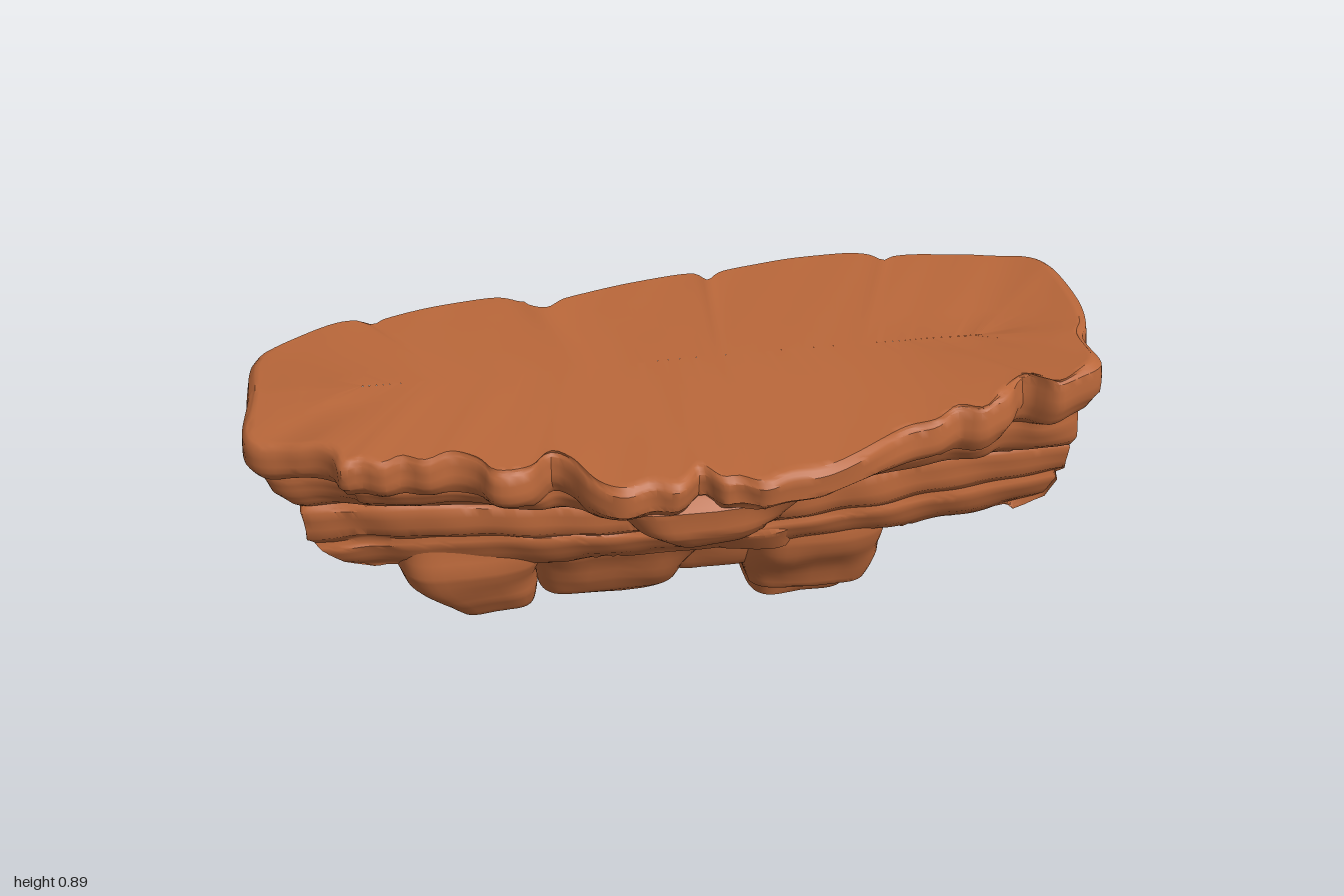
import * as THREE from 'three';
import { toCreasedNormals } from 'three/addons/utils/BufferGeometryUtils.js';

const { lerp, clamp, smoothstep } = THREE.MathUtils;

// Smooth, repeatable bumpiness; stretched sideways so it reads as strata
function noise(x, y, z) {
  return 0.45 * Math.sin(7 * x + 3 * Math.sin(11 * y) + 2 * z)
    + 0.35 * Math.sin(15 * y + 5 * x - 4 * z + 1.3)
    + 0.3 * Math.sin(17 * x - 9 * z + 2 * Math.sin(8 * y + 6 * x))
    + 0.2 * Math.sin(37 * x + 13 * y + 23 * z);
}

// Closed solid from rings of equal length, listed top to bottom
function loft(rings, amp) {
  const n = rings[0].length, pos = [], idx = [];
  // Caps shrink a ring toward a straight spine
  const shrink = (ring, s) => {
    const c = ring.reduce((a, p) => a.add(p), new THREE.Vector3()).divideScalar(n);
    return ring.map(p => new THREE.Vector3(
      lerp(lerp(c.x, p.x, 0.75), p.x, s), lerp(c.y, p.y, s), lerp(c.z, p.z, s)));
  };
  const caps = [0, 0.3, 0.55, 0.75, 0.88, 0.96];
  const all = [...caps.map(s => shrink(rings[0], s)), ...rings,
    ...caps.slice().reverse().map(s => shrink(rings[rings.length - 1], s))];
  all.forEach(r => r.forEach(p => pos.push(p.x, p.y, p.z)));
  for (let j = 0; j < all.length - 1; j++) {
    for (let i = 0; i < n; i++) {
      const k = (i + 1) % n;
      const a = j * n + i, b = a + n, c = (j + 1) * n + k, d = j * n + k;
      idx.push(a, b, c, a, c, d);
    }
  }
  const geo = new THREE.BufferGeometry();
  geo.setAttribute('position', new THREE.Float32BufferAttribute(pos, 3));
  geo.setIndex(idx);
  geo.computeVertexNormals();
  const p = geo.attributes.position, q = geo.attributes.normal;
  for (let i = 0; i < p.count; i++) {
    const x = p.getX(i), y = p.getY(i), z = p.getZ(i);
    const d = amp * noise(x, y, z) * (Math.abs(q.getY(i)) > 0.8 ? 0.3 : 1);
    p.setXYZ(i, x + q.getX(i) * d, y + q.getY(i) * d, z + q.getZ(i) * d);
  }
  return toCreasedNormals(geo, 0.8);
}

// Insert evenly blended rows between the given ones
function refine(rows, steps) {
  const out = [];
  for (let j = 0; j < rows.length - 1; j++)
    for (let s = 0; s < steps; s++)
      out.push(rows[j].map((v, k) => lerp(v, rows[j + 1][k], s / steps)));
  out.push(rows[rows.length - 1]);
  return out;
}

// Plan of the ledge: front edge from left to right, then the back edge
const PLAN = [
  [-0.99, -0.1], [-0.99, 0.07], [-0.9, 0.13], [-0.81, 0.18], [-0.79, 0.23], [-0.65, 0.25], [-0.5, 0.26], [-0.46, 0.31],
  [-0.38, 0.32], [-0.33, 0.28], [-0.29, 0.31], [-0.23, 0.4], [-0.1, 0.42], [-0.04, 0.41], [0, 0.375],
  [0.05, 0.425], [0.12, 0.44], [0.22, 0.43], [0.42, 0.35], [0.6, 0.28], [0.7, 0.28], [0.77, 0.2],
  [0.85, 0.24], [0.96, 0.19], [0.965, 0.05], [0.99, 0], [1, -0.12], [0.97, -0.31], [0.85, -0.36],
  [0.63, -0.4], [0.6, -0.385], [0.57, -0.42], [0.46, -0.44], [0.18, -0.4], [0.14, -0.36], [0.11, -0.405],
  [-0.22, -0.33], [-0.28, -0.28], [-0.39, -0.36], [-0.67, -0.305], [-0.7, -0.28], [-0.74, -0.31],
  [-0.95, -0.265], [-0.98, -0.24],
];

// Strata levels: height, left x, right x, pull toward the lower wall, wall depth
const STRATA = [
  [0.88, -0.98, 0.975, 0.06, 0.14],
  [0.865, -0.995, 0.995, 0, 0.14],
  [0.8, -1, 1, 0, 0.14],
  [0.755, -0.985, 0.985, 0.12, 0.14],
  [0.725, -0.965, 0.975, 0.42, 0.14],
  [0.7, -0.965, 0.975, 0.42, 0.14],
  [0.645, -0.95, 0.975, 0.55, 0.14],
  [0.61, -0.91, 0.97, 0.8, 0.14],
  [0.59, -0.885, 0.965, 0.97, 0.125],
  [0.575, -0.895, 0.98, 1, 0.14],
  [0.5, -0.895, 0.98, 1, 0.135],
  [0.475, -0.875, 0.965, 1, 0.11],
  [0.455, -0.86, 0.97, 1, 0.115],
  [0.4, -0.81, 0.95, 1, 0.09],
  [0.36, -0.74, 0.88, 1, 0.055],
];

function ledgeGeometry() {
  const curve = new THREE.CatmullRomCurve3(
    PLAN.map(([x, z]) => new THREE.Vector3(x, 0, z)), true, 'centripetal');
  const plan = curve.getSpacedPoints(320).slice(0, 320);
  const rings = refine(STRATA, 3).map(([y, xl, xr, t, wall]) => plan.map(p => {
    const x = lerp(xl, xr, (p.x + 1) / 2);
    const high = smoothstep(y, 0.62, 0.86);
    const ragged = 0.01 * high * smoothstep(p.z, 0.1, 0.2) * Math.sin(43 * x + 3 * Math.sin(9 * x));
    // The lower wall bows forward at the middle; its back steps in behind the hanging rocks
    const bow = wall - (x < 0 ? 0.11 : 0.08) * x * x;
    const tuck = 1 - 0.25 * (1 - smoothstep(y, 0.36, 0.52)) * smoothstep(-p.z, 0.2, 0.3);
    const z = lerp(p.z, Math.min(p.z, bow), t) * tuck + ragged;
    const dip = 0.045 * (1 - smoothstep(x, -1, -0.75))
      + 0.06 * clamp((z + 0.1) / 0.54, 0, 1) * (1 - smoothstep(x, 0.45, 0.9))
      + 0.015 * smoothstep(-z, 0.25, 0.42) - 0.01 * x;
    // Strata rise and fall a little along the ledge
    const wave = 0.013 * Math.sin(5 * x + 8 * y) * smoothstep(y, 0.36, 0.5) * (1 - high);
    return new THREE.Vector3(x, y - dip * high + wave, z);
  }));
  return loft(rings, 0.01);
}

// Rounded block from rows of: height, left x, right x, back z, front z
function blockGeometry(rows) {
  const N = 56, e = 0.5;
  const pw = v => Math.sign(v) * Math.abs(v) ** e;
  return loft(refine(rows, 4).map(([y, x0, x1, z0, z1]) =>
    Array.from({ length: N }, (_, i) => {
      const a = i / N * Math.PI * 2;
      return new THREE.Vector3(
        (x0 + x1) / 2 - pw(Math.cos(a)) * (x1 - x0) / 2, y,
        (z0 + z1) / 2 + pw(Math.sin(a)) * (z1 - z0) / 2);
    })), 0.012);
}

const BLOCKS = {
  rightHangingRock: [
    [0.68, -0.7, -0.34, -0.28, 0.0], [0.5, -0.7, -0.33, -0.33, 0.06], [0.36, -0.7, -0.33, -0.33, 0.075],
    [0.3, -0.67, -0.34, -0.32, 0.05], [0.24, -0.61, -0.34, -0.31, 0.03], [0.18, -0.56, -0.35, -0.29, -0.01],
    [0.14, -0.47, -0.37, -0.25, -0.07]],
  middleHangingRock: [
    [0.68, -0.28, 0.1, -0.29, 0.04], [0.5, -0.32, 0.12, -0.365, 0.05], [0.36, -0.36, 0.12, -0.365, 0.045],
    [0.25, -0.35, 0.03, -0.355, 0.0], [0.19, -0.34, 0.02, -0.34, -0.04], [0.155, -0.26, 0.01, -0.33, -0.08],
    [0.13, -0.12, -0.01, -0.3, -0.14]],
  middleBackRock: [
    [0.6, -0.1, 0.14, -0.3, 0.04], [0.45, -0.1, 0.15, -0.39, 0.03], [0.34, -0.05, 0.26, -0.39, 0.0],
    [0.23, -0.02, 0.25, -0.38, -0.04], [0.19, 0, 0.22, -0.36, -0.1]],
  lowestHangingRock: [
    [0.68, 0.18, 0.54, -0.36, 0.04], [0.5, 0.16, 0.54, -0.425, 0.05], [0.36, 0.17, 0.53, -0.425, 0.065],
    [0.3, 0.17, 0.53, -0.42, 0.045], [0.22, 0.16, 0.53, -0.42, 0.01], [0.145, 0.18, 0.51, -0.4, -0.015],
    [0.125, 0.19, 0.5, -0.37, -0.08], [0.06, 0.21, 0.48, -0.37, -0.11], [0.045, 0.25, 0.47, -0.37, -0.17],
    [0.002, 0.33, 0.44, -0.365, -0.27]],
  backHangingRock: [
    [0.68, 0.36, 0.6, -0.37, -0.05], [0.5, 0.36, 0.62, -0.435, -0.08], [0.36, 0.38, 0.64, -0.44, -0.1],
    [0.2, 0.42, 0.61, -0.44, -0.2], [0.16, 0.44, 0.54, -0.435, -0.28]],
  leftHangingRock: [
    [0.68, 0.6, 0.93, -0.32, 0.0], [0.5, 0.58, 0.94, -0.385, -0.05], [0.39, 0.58, 0.92, -0.395, -0.1],
    [0.35, 0.6, 0.88, -0.4, -0.17], [0.28, 0.61, 0.88, -0.4, -0.18], [0.22, 0.62, 0.83, -0.4, -0.23],
    [0.185, 0.64, 0.75, -0.38, -0.27]],
  frontOverhang: [
    [0.76, -0.26, 0.3, 0, 0.36], [0.72, -0.22, 0.27, 0, 0.395], [0.65, -0.16, 0.21, 0, 0.385],
    [0.62, -0.11, 0.17, 0, 0.36], [0.6, -0.08, 0.14, 0, 0.34], [0.575, -0.04, 0.1, 0, 0.28]],
  frontKnob: [
    [0.56, -0.05, 0.1, 0, 0.14], [0.545, -0.06, 0.12, 0, 0.16], [0.515, -0.05, 0.12, 0, 0.16],
    [0.49, 0.0, 0.08, 0, 0.13]],
  frontBulge: [
    [0.49, -0.04, 0.26, -0.1, 0.1], [0.43, 0.02, 0.28, -0.1, 0.115], [0.36, 0.08, 0.28, -0.1, 0.07]],
};

export function createModel() {
  const group = new THREE.Group();
  group.name = 'rockLedge';
  const rock = new THREE.MeshStandardMaterial({ color: 0xb9673a });
  rock.name = 'red rock';
  const add = (name, geometry) => {
    const mesh = new THREE.Mesh(geometry, rock);
    mesh.name = name;
    group.add(mesh);
  };
  add('layeredLedge', ledgeGeometry());
  for (const [name, rows] of Object.entries(BLOCKS)) add(name, blockGeometry(rows));
  return group;
}
